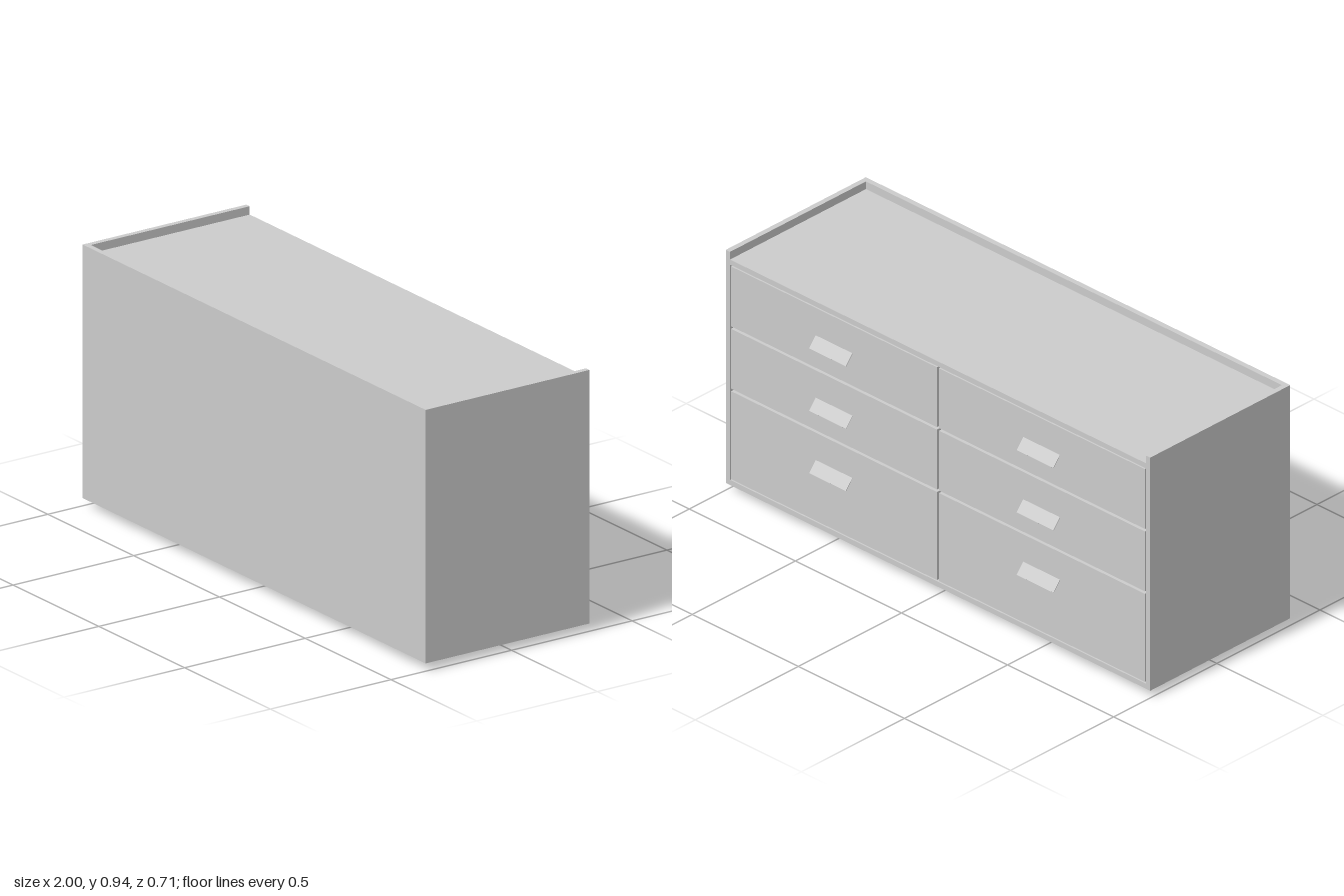
import * as THREE from 'three';

const material = new THREE.MeshStandardMaterial({ color: 0xcccccc });

// Box given by its extents on each axis
function panel(name, [x0, x1], [y0, y1], [z0, z1]) {
  const mesh = new THREE.Mesh(new THREE.BoxGeometry(x1 - x0, y1 - y0, z1 - z0), material);
  mesh.name = name;
  mesh.position.set((x0 + x1) / 2, (y0 + y1) / 2, (z0 + z1) / 2);
  return mesh;
}

export function createModel() {
  const model = new THREE.Group();
  model.name = 'dresser';

  const drawerFace = -0.323, wallFace = 0.356, t = 0.02;
  const inner = 1 - t;

  // Carcass: side panels and wall panel rise above the inset top
  model.add(
    panel('leftSide', [inner, 1], [0.028, 0.94], [drawerFace, wallFace]),
    panel('rightSide', [-1, -inner], [0.028, 0.94], [drawerFace, wallFace]),
    panel('wallPanel', [-inner, inner], [0.048, 0.94], [wallFace - t, wallFace]),
    panel('bottomPanel', [-inner, inner], [0.028, 0.048], [drawerFace, wallFace]),
    panel('topPanel', [-inner, inner], [0.89, 0.91], [drawerFace, wallFace - t]),
    panel('centreDivider', [-t / 2, t / 2], [0.048, 0.89], [drawerFace + t, wallFace - t]),
    panel('plinth', [-0.908, 0.908], [0, 0.028], [-0.252, 0.286])
  );

  // Two columns of three drawers, the lowest one deeper
  const rows = [0.89, 0.646, 0.402, 0.048];
  const gap = 0.005;
  const drop = 0.038, reach = 0.032;
  for (const side of [-1, 1]) {
    for (let i = 0; i < 3; i++) {
      const drawer = new THREE.Group();
      drawer.name = `${side > 0 ? 'left' : 'right'}Drawer${i + 1}`;
      const xs = [gap, inner - gap].map((x) => x * side).sort((a, b) => a - b);
      drawer.add(panel('drawerFront', xs, [rows[i + 1] + gap, rows[i] - gap], [drawerFace, drawerFace + t]));

      // Thin plate pull, sloping down and away from the drawer front
      const pull = new THREE.Mesh(new THREE.BoxGeometry(0.173, Math.hypot(drop, reach), 0.002), material);
      pull.name = 'pull';
      pull.position.set(side * 0.489, rows[i] - 0.112 - drop / 2, drawerFace - reach / 2);
      pull.rotation.x = Math.atan2(reach, drop);
      drawer.add(pull);
      model.add(drawer);
    }
  }
  return model;
}
